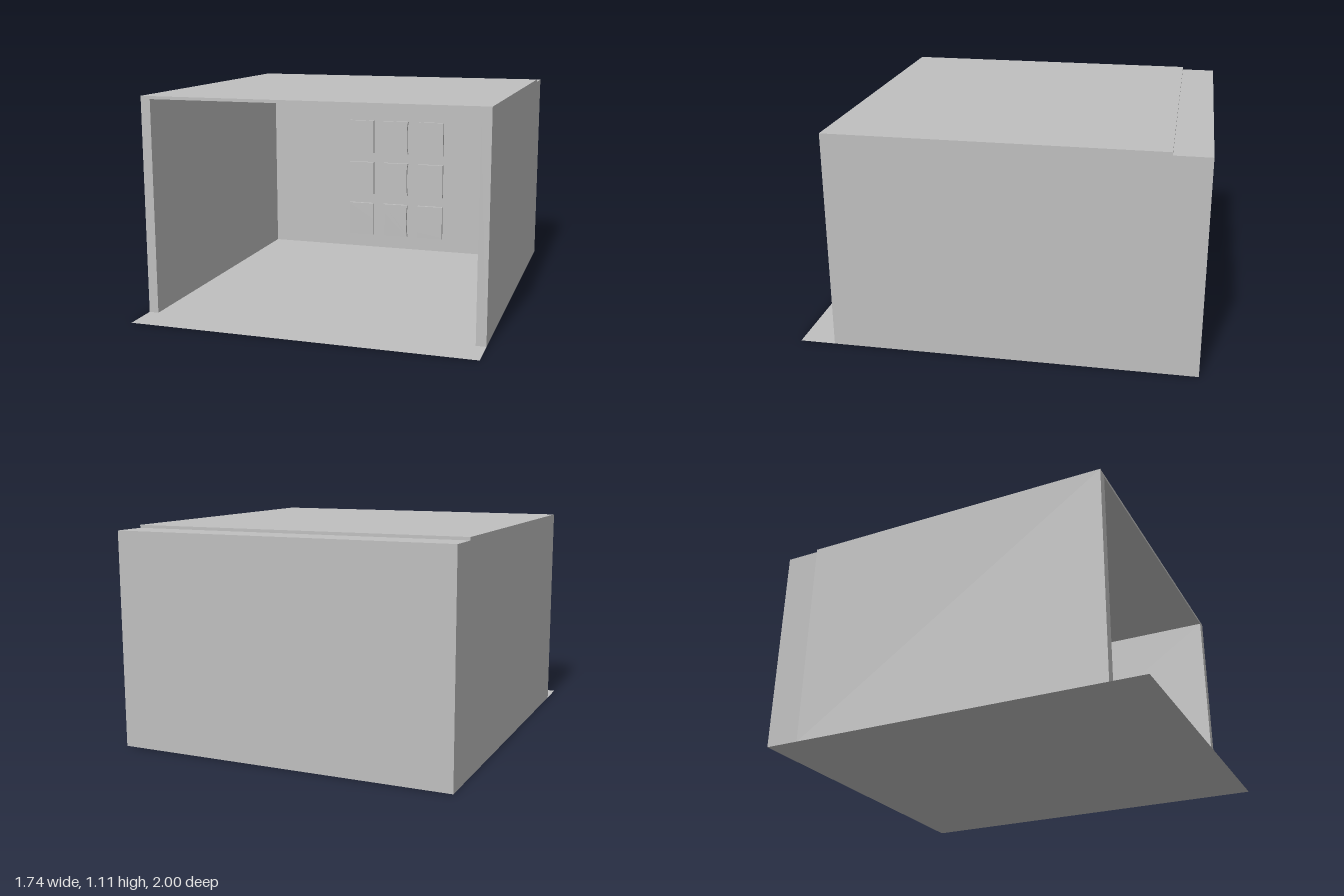
import * as THREE from 'three';

export function createModel() {
  const model = new THREE.Group();
  const grey = new THREE.MeshStandardMaterial({ color: 0xbfbfbf });
  grey.name = 'lightGrey';
  const floorGrey = grey.clone();
  floorGrey.side = THREE.DoubleSide;

  const W = 0.87, IN = 0.82, H = 1.11, CEIL = 1.095;

  function add(name, geometry, material, x, y, z, parent = model) {
    const mesh = new THREE.Mesh(geometry, material);
    mesh.name = name;
    mesh.position.set(x, y, z);
    parent.add(mesh);
    return mesh;
  }

  // Ground sheet, reaching out past the open front
  add('floor', new THREE.PlaneGeometry(2 * W, 2).rotateX(-Math.PI / 2), floorGrey, 0, 0, 0);

  // Side walls and thin roof as one extruded arch
  const arch = new THREE.Shape([
    [-W, 0], [-IN, 0], [-IN, CEIL], [IN, CEIL], [IN, 0], [W, 0], [W, H], [-W, H],
  ].map(([x, y]) => new THREE.Vector2(x, y)));
  add('wallsAndRoof', new THREE.ExtrudeGeometry(arch, { depth: 1.64, bevelEnabled: false }),
    grey, 0, 0, -0.82);

  // Thick back wall, slightly lower than the roof
  add('backWall', new THREE.BoxGeometry(2 * W, CEIL, 0.18), grey, 0, CEIL / 2, -0.91);

  // Three by three raised panels on the back wall; the middle column has pinched sides
  function panelGeometry(pinch) {
    const w = 0.08, h = 0.104, s = new THREE.Shape();
    s.moveTo(-w, -h);
    s.lineTo(w, -h);
    s.quadraticCurveTo(w - pinch, -h * 0.8, w - pinch, 0);
    s.quadraticCurveTo(w - pinch, h * 0.8, w, h);
    s.lineTo(-w, h);
    s.quadraticCurveTo(-w + pinch, h * 0.8, -w + pinch, 0);
    s.quadraticCurveTo(-w + pinch, -h * 0.8, -w, -h);
    return new THREE.ExtrudeGeometry(s, { depth: 0.02, bevelEnabled: false, curveSegments: 6 });
  }
  const straight = panelGeometry(0), pinched = panelGeometry(0.008);
  const panels = new THREE.Group();
  panels.name = 'wallPanels';
  model.add(panels);
  for (let row = 0; row < 3; row++) {
    for (let col = -1; col <= 1; col++) {
      add('panel', col === 0 ? pinched : straight, grey,
        col * 0.226, 0.186 + row * 0.268, -0.82, panels);
    }
  }
  return model;
}
